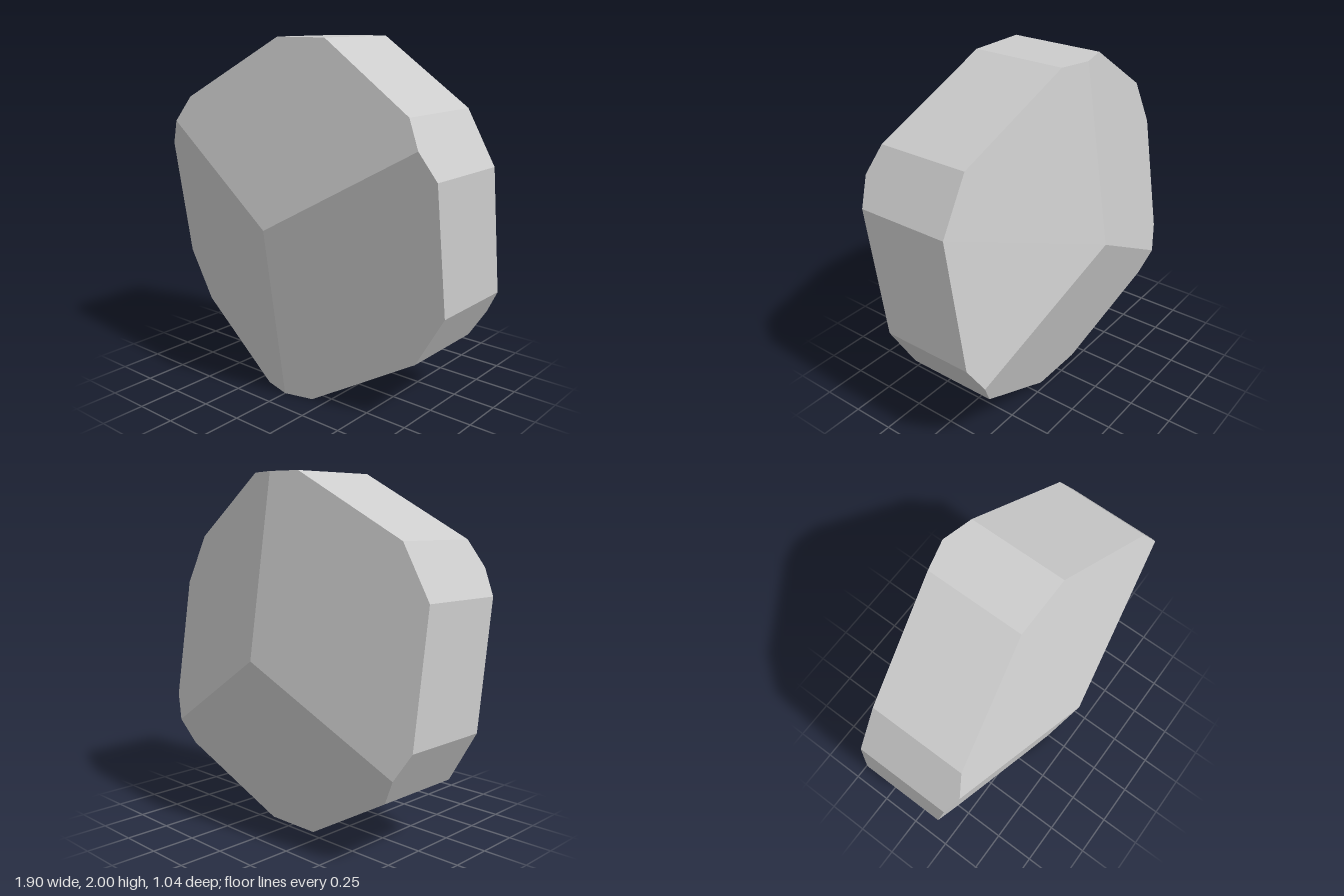
import * as THREE from 'three';

const APEX = 0.52;    // height of each cap's point along z
const SLOPE = 0.305;  // fall of the cap facets per unit outwards
const LONG = 0.95;    // distance from the axis to the long rim sides
const SHORT = 1;      // distance from the axis to the short rim sides

// Counter-clockwise outline: for each short side its start, middle and end
function outline() {
  const half = 2 * LONG - SHORT * Math.sqrt(3); // half the length of a short side
  const points = [];
  for (let i = 0; i < 6; i++) {
    const a = Math.PI / 6 + i * Math.PI / 3;
    for (const s of [-half, 0, half]) {
      points.push(new THREE.Vector2(SHORT, s).rotateAround(new THREE.Vector2(), a));
    }
  }
  return points;
}

// Depth of the three-facet cap; the back cap is the front one inverted
function capZ(p, side) {
  let reach = -Infinity;
  for (let k = 0; k < 3; k++) {
    const a = Math.PI / 2 + k * Math.PI * 2 / 3;
    reach = Math.max(reach, side * (p.x * Math.cos(a) + p.y * Math.sin(a)));
  }
  return side * (APEX - SLOPE * reach);
}

function facetMesh(name, corners, material) {
  const geometry = new THREE.BufferGeometry().setFromPoints(corners);
  geometry.computeVertexNormals(); // unshared corners keep every facet flat
  const mesh = new THREE.Mesh(geometry, material);
  mesh.name = name;
  return mesh;
}

export function createModel() {
  const group = new THREE.Group();
  group.name = 'facetedCrystal';
  const stone = new THREE.MeshStandardMaterial({ color: 0xcccccc, flatShading: true });
  stone.name = 'lightGrey';

  const points = outline();
  const front = points.map(p => new THREE.Vector3(p.x, p.y, capZ(p, 1)));
  const back = points.map(p => new THREE.Vector3(p.x, p.y, capZ(p, -1)));
  const frontTip = new THREE.Vector3(0, 0, APEX);
  const backTip = new THREE.Vector3(0, 0, -APEX);

  const frontCap = [], backCap = [], rim = [];
  for (let i = 0; i < points.length; i++) {
    const j = (i + 1) % points.length;
    frontCap.push(frontTip, front[i], front[j]);
    backCap.push(backTip, back[j], back[i]);
    rim.push(back[i], back[j], front[j], back[i], front[j], front[i]);
  }

  group.add(
    facetMesh('frontCap', frontCap, stone),
    facetMesh('backCap', backCap, stone),
    facetMesh('rim', rim, stone),
  );
  // Stand the crystal on the ground
  group.children.forEach(mesh => { mesh.position.y = SHORT; });
  return group;
}
